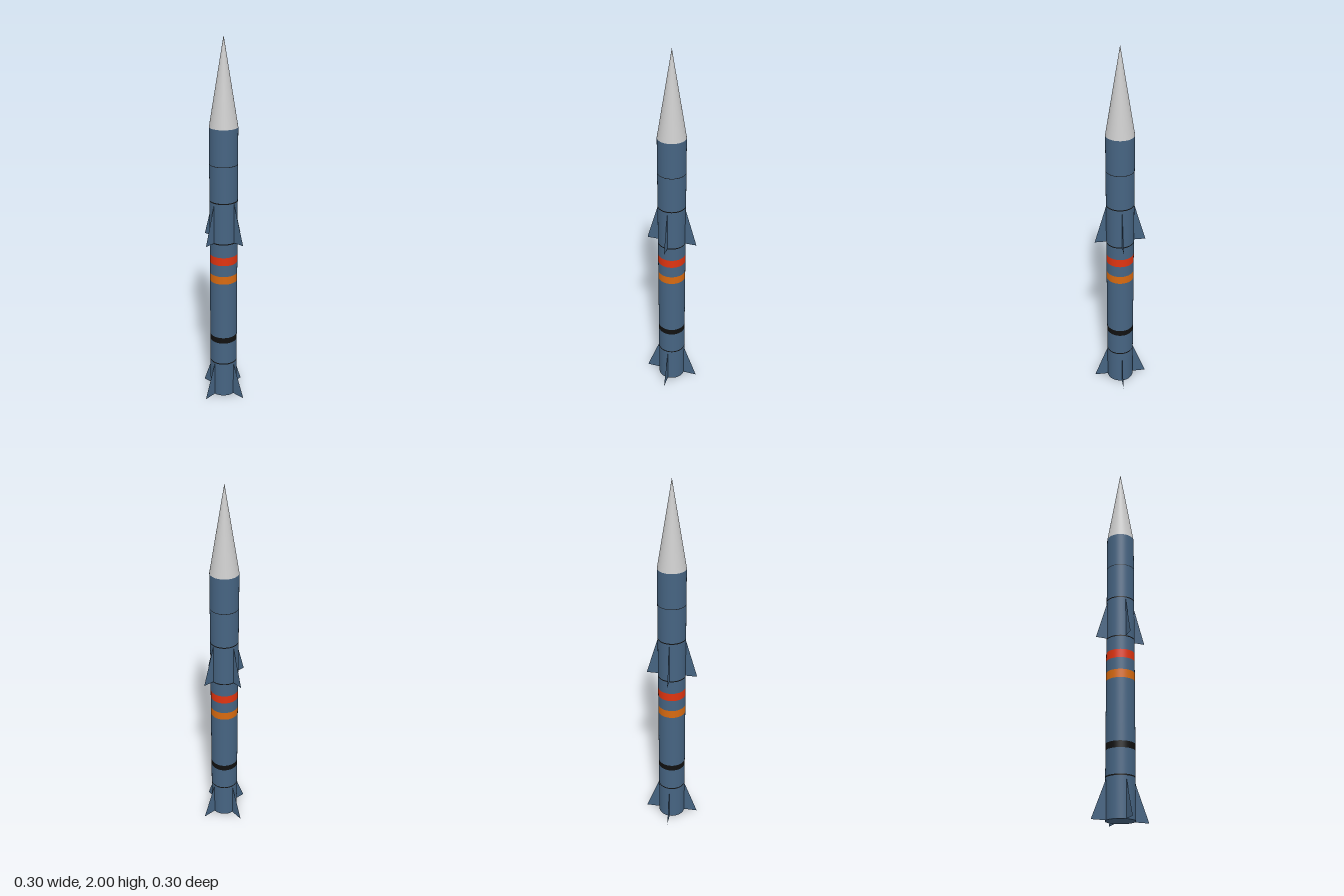
import * as THREE from 'three';

const R = 0.074;
const SEGMENTS = 64;

export function createModel() {
  const rocket = new THREE.Group();
  rocket.name = 'rocket';

  const paint = (color, side = THREE.FrontSide) => new THREE.MeshStandardMaterial({ color, side });
  const blue = paint(0x466482);
  const finBlue = paint(0x466482, THREE.DoubleSide);
  const black = paint(0x111111);
  const red = paint(0xe03410);
  const orange = paint(0xd86a10);
  const grey = paint(0xcccccc);

  const add = (name, geometry, material) => {
    const mesh = new THREE.Mesh(geometry, material);
    mesh.name = name;
    rocket.add(mesh);
    return mesh;
  };

  // Body stacked from the tail up: [name, top height, material]
  const sections = [
    ['tailSection', 0.204, blue],
    ['tailJoint', 0.211, black],
    ['lowerBody', 0.34, blue],
    ['blackBand', 0.374, black],
    ['middleBody', 0.703, blue],
    ['orangeBand', 0.748, orange],
    ['bandGap', 0.812, blue],
    ['redBand', 0.858, red],
    ['upperBody', 0.931, blue],
    ['lowerWingJoint', 0.937, black],
    ['wingSection', 1.157, blue],
    ['upperWingJoint', 1.163, black],
    ['payloadSection', 1.355, blue],
    ['payloadJoint', 1.358, black],
    ['noseCollar', 1.549, blue],
  ];
  let base = 0;
  for (const [name, top, material] of sections) {
    const h = top - base;
    const open = base > 0; // only the tail end is closed
    add(name, new THREE.CylinderGeometry(R, R, h, SEGMENTS, 1, open), material).position.y = base + h / 2;
    base = top;
  }

  // Pointed nose
  add('noseCone', new THREE.ConeGeometry(R, 2 - base, SEGMENTS, 1), grey).position.y = (2 + base) / 2;

  // Four thin triangular fins around the body
  const addFins = (name, bottom, top, span) => {
    const outline = new THREE.Shape([
      new THREE.Vector2(R - 0.002, bottom),
      new THREE.Vector2(span, bottom),
      new THREE.Vector2(R - 0.002, top),
    ]);
    const geometry = new THREE.ShapeGeometry(outline);
    for (let i = 0; i < 4; i++) add(name, geometry, finBlue).rotation.y = (i * Math.PI) / 2;
  };
  addFins('tailFin', 0, 0.204, 0.15);
  addFins('wing', 0.935, 1.157, 0.137);

  return rocket;
}
